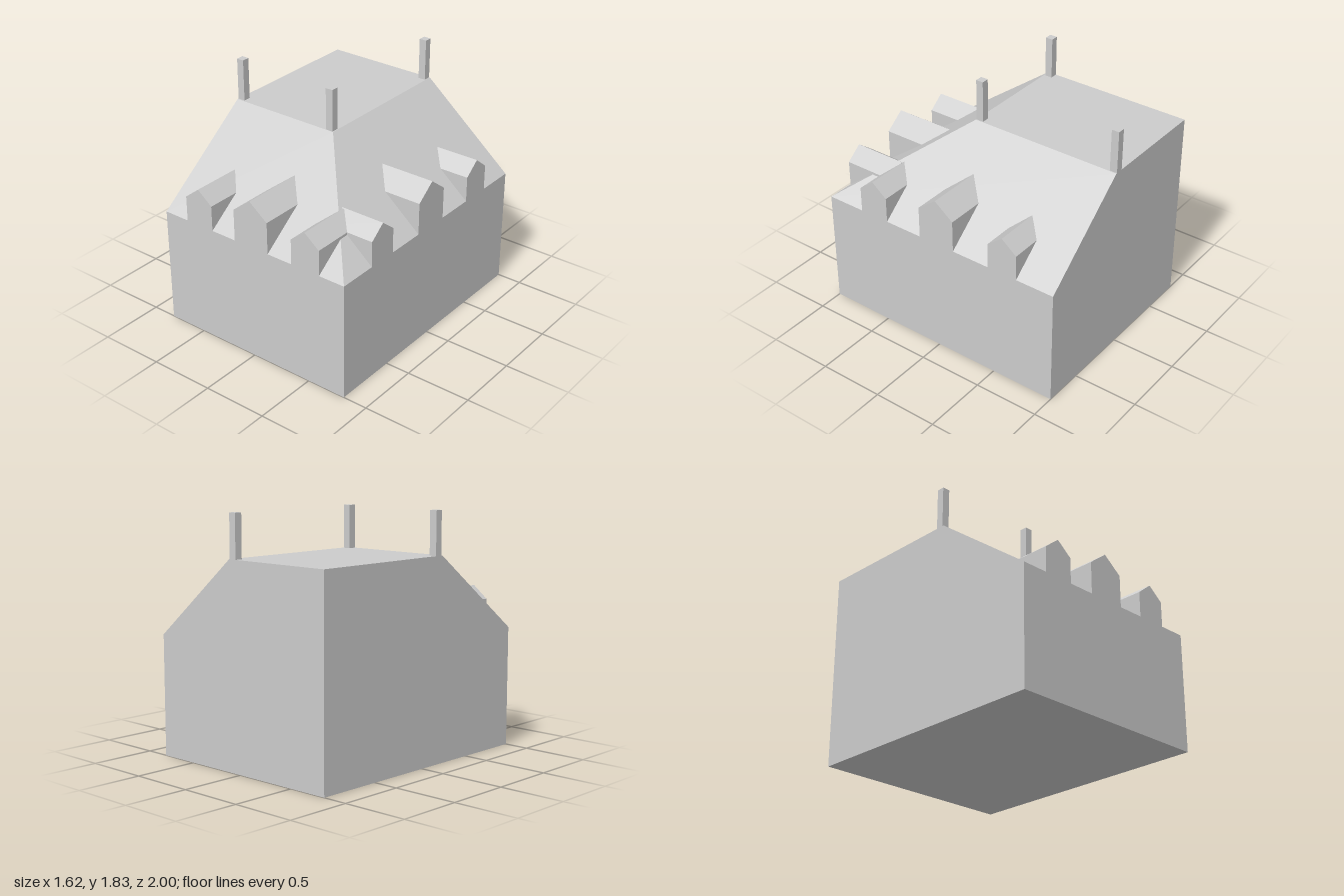
import * as THREE from 'three';

const W = 0.81, D = 1, EAVE = 0.905, TOP = 1.505;
const TOP_X = 0.09, TOP_Z = 0.2; // front right corner of the flat roof

export function createModel() {
  const model = new THREE.Group();
  const material = new THREE.MeshStandardMaterial({ color: 0xcccccc, flatShading: true });

  const add = (name, geometry, parent = model) => {
    const mesh = new THREE.Mesh(geometry, material);
    mesh.name = name;
    parent.add(mesh);
    return mesh;
  };

  // Box given by its limits on each axis
  const block = (x0, x1, y0, y1, z0, z1) =>
    new THREE.BoxGeometry(x1 - x0, y1 - y0, z1 - z0)
      .translate((x0 + x1) / 2, (y0 + y1) / 2, (z0 + z1) / 2);

  // Walls
  add('walls', block(-W, W, 0, EAVE, -D, D));

  // Roof: a box with its top drawn in on the front and the +x side
  const roof = block(-W, W, EAVE, TOP, -D, D);
  const p = roof.attributes.position;
  for (let i = 0; i < p.count; i++) {
    if (p.getY(i) < TOP - 0.01) continue;
    if (p.getX(i) > 0) p.setX(i, TOP_X);
    if (p.getZ(i) > 0) p.setZ(i, TOP_Z);
  }
  roof.computeVertexNormals();
  add('roof', roof);

  // Gabled dormers, running back until the ridge sinks into the roof slope
  const dormer = (half, eave, peak, run) => {
    const shape = new THREE.Shape([
      new THREE.Vector2(-half, EAVE), new THREE.Vector2(half, EAVE),
      new THREE.Vector2(half, eave), new THREE.Vector2(0, peak),
      new THREE.Vector2(-half, eave),
    ]);
    const depth = run * (peak - EAVE) / (TOP - EAVE) + 0.03;
    return new THREE.ExtrudeGeometry(shape, { depth, bevelEnabled: false })
      .translate(0, 0, -depth);
  };
  const dormers = new THREE.Group();
  dormers.name = 'dormers';
  model.add(dormers);
  for (const side of [-1, 0, 1]) {
    const size = side === 0 ? [0.15, 1.15, 1.265] : [0.12, 1.1, 1.195];
    add('frontDormer', dormer(...size, D - TOP_Z), dormers).position.set(side * 0.48, 0, D);
    const flank = add('leftDormer', dormer(...size, W - TOP_X), dormers);
    flank.position.set(W, 0, side * 0.575);
    flank.rotation.y = Math.PI / 2;
  }

  // Chimneys on three corners of the flat roof
  const chimneys = new THREE.Group();
  chimneys.name = 'chimneys';
  model.add(chimneys);
  for (const [x, z] of [[-0.81, 0.13], [0.025, 0.14], [0.025, -1]]) {
    add('chimney', block(x, x + 0.058, TOP, 1.825, z, z + 0.058), chimneys);
  }
  return model;
}
